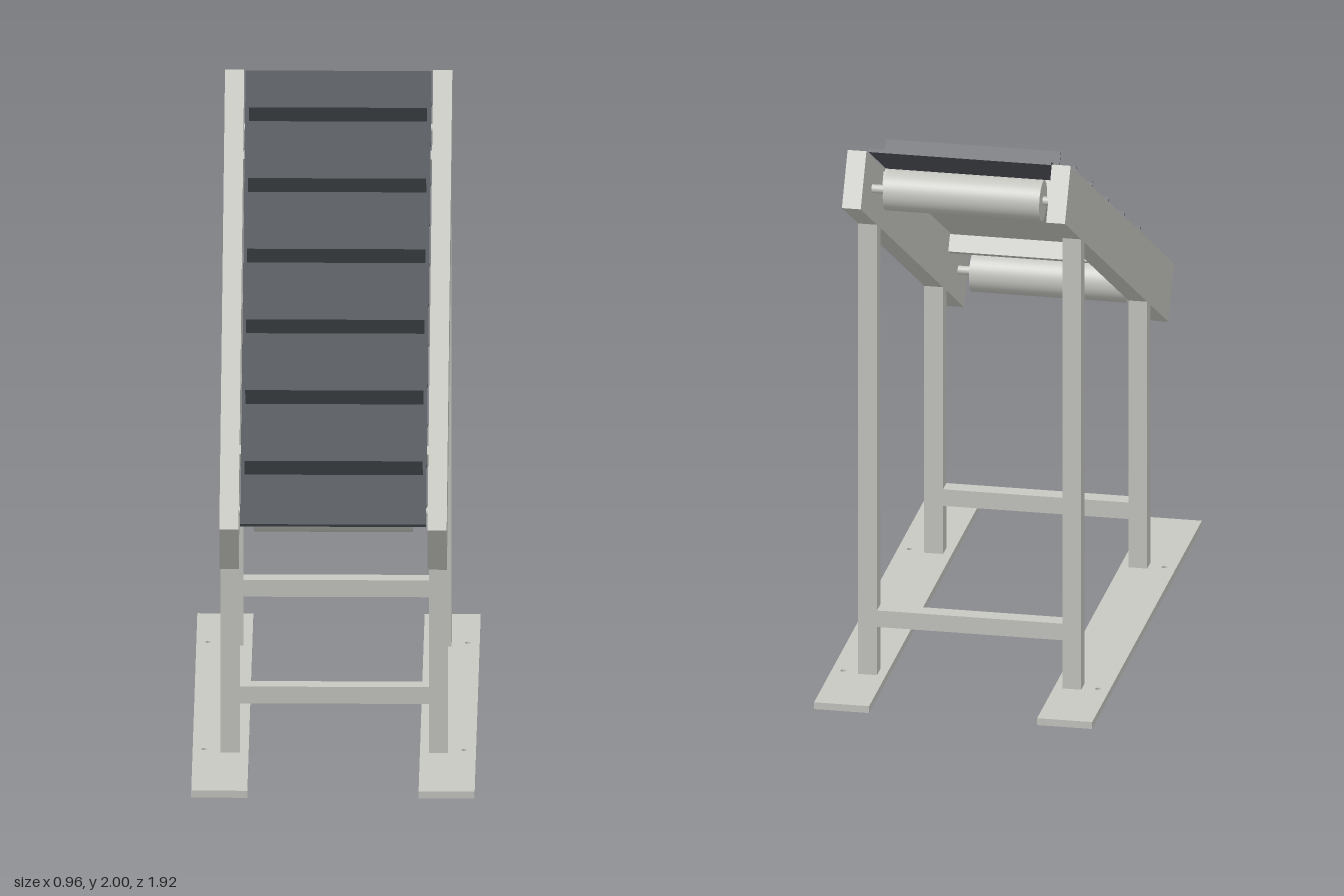
import * as THREE from 'three';

export function createModel() {
  const steel = new THREE.MeshStandardMaterial({ color: 0xc8c8c3 });
  steel.name = 'pale steel';
  const rubber = new THREE.MeshStandardMaterial({ color: 0x50545a });
  rubber.name = 'dark rubber';

  const model = new THREE.Group();
  model.name = 'inclinedConveyor';

  const add = (parent, name, geometry, material, x = 0, y = 0, z = 0) => {
    const mesh = new THREE.Mesh(geometry, material);
    mesh.name = name;
    mesh.position.set(x, y, z);
    parent.add(mesh);
    return mesh;
  };
  const box = (parent, name, material, w, h, d, x, y, z) =>
    add(parent, name, new THREE.BoxGeometry(w, h, d), material, x, y, z);

  const TILT = Math.PI / 6, MID = 1.39;
  const RAIL_H = 0.2, RAIL_L = 2.09, RAIL_W = 0.065, RAIL_X = 0.3525;
  const FOOT_H = 0.025, LEG_D = 0.06;
  const legZ = [0.515, -0.64];

  // Height of the rails' underside at a given z
  const underside = z => MID - RAIL_H / 2 / Math.cos(TILT) - z * Math.tan(TILT);

  // Floor plate with two bolt holes
  const footPlate = side => {
    const s = new THREE.Shape();
    s.moveTo(-0.095, -0.96);
    s.lineTo(0.095, -0.96);
    s.lineTo(0.095, 0.96);
    s.lineTo(-0.095, 0.96);
    s.closePath();
    for (const z of [-0.65, 0.51]) {
      const hole = new THREE.Path();
      hole.absarc(side * 0.055, -z, 0.01, 0, Math.PI * 2, true);
      s.holes.push(hole);
    }
    return new THREE.ExtrudeGeometry(s, { depth: FOOT_H, bevelEnabled: false, curveSegments: 10 })
      .rotateX(-Math.PI / 2);
  };

  // Leg whose top is cut to the slope of the rail
  const leg = z => {
    const a = z - LEG_D / 2, b = z + LEG_D / 2;
    const s = new THREE.Shape();
    s.moveTo(a, FOOT_H);
    s.lineTo(b, FOOT_H);
    s.lineTo(b, underside(b));
    s.lineTo(a, underside(a));
    s.closePath();
    return new THREE.ExtrudeGeometry(s, { depth: RAIL_W, bevelEnabled: false })
      .rotateY(-Math.PI / 2).translate(RAIL_W / 2, 0, 0);
  };

  // Stand
  for (const side of [-1, 1]) {
    add(model, 'footPlate', footPlate(side), steel, side * 0.385, 0, 0);
    for (const z of legZ) add(model, 'leg', leg(z), steel, side * RAIL_X, 0, 0);
  }
  for (const z of legZ) box(model, 'legCrossbar', steel, 0.64, 0.06, LEG_D, 0, 0.23, z);

  // Tilted conveyor bed, local +z runs downhill
  const bed = new THREE.Group();
  bed.name = 'conveyorBed';
  bed.position.y = MID;
  bed.rotation.x = TILT;
  model.add(bed);

  for (const side of [-1, 1]) {
    box(bed, 'sideRail', steel, RAIL_W, RAIL_H, RAIL_L, side * RAIL_X, 0, 0);
  }

  // End rollers with shafts, and cross members under the pan
  for (const end of [-1, 1]) {
    const roller = new THREE.CylinderGeometry(0.07, 0.07, 0.54, 40).rotateZ(Math.PI / 2);
    const shaft = new THREE.CylinderGeometry(0.015, 0.015, 0.64, 20).rotateZ(Math.PI / 2);
    add(bed, 'roller', roller, steel, 0, 0, end * 0.87);
    add(bed, 'rollerShaft', shaft, steel, 0, 0, end * 0.87);
    box(bed, 'crossMember', steel, 0.64, 0.06, 0.04, 0, 0.058, end * 0.67);
  }
  box(bed, 'beltPan', steel, 0.63, 0.01, 1.38, 0, 0.093, 0);

  // Belt and its cleats
  box(bed, 'belt', rubber, 0.63, 0.012, 2.06, 0, 0.106, 0);
  for (let i = 0; i < 6; i++) {
    box(bed, 'cleat', rubber, 0.604, 0.07, 0.005, 0, 0.147, (i - 2.5) * 0.321);
  }

  return model;
}
